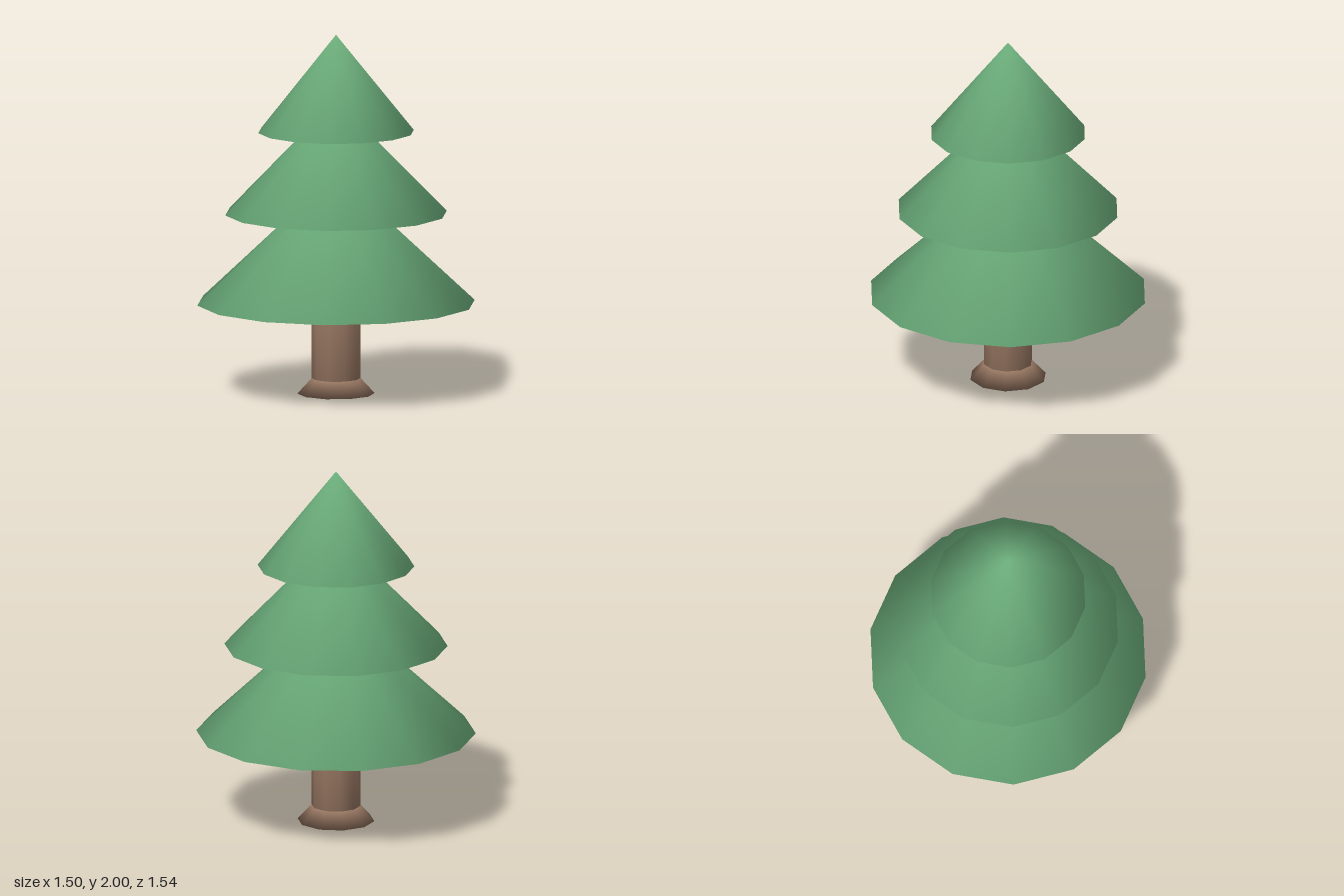
import * as THREE from 'three';

const needleGreen = new THREE.MeshStandardMaterial({ color: 0x6fb37f });
needleGreen.name = 'needle green';
const barkBrown = new THREE.MeshStandardMaterial({ color: 0x967661 });
barkBrown.name = 'bark brown';

// Closed turned solid; the poles get vertical normals so shading runs smoothly into them
function turned(name, profile, sides, material) {
  const geometry = new THREE.LatheGeometry(profile.map(([r, y]) => new THREE.Vector2(r, y)), sides);
  const { position, normal } = geometry.attributes;
  const middle = (profile[0][1] + profile[profile.length - 1][1]) / 2;
  for (let i = 0; i < position.count; i++) {
    if (Math.hypot(position.getX(i), position.getZ(i)) < 1e-4) {
      normal.setXYZ(i, 0, position.getY(i) > middle ? 1 : -1, 0);
    }
  }
  const mesh = new THREE.Mesh(geometry, material);
  mesh.name = name;
  return mesh;
}

export function createModel() {
  const tree = new THREE.Group();
  tree.name = 'pineTree';

  // Trunk and its flared foot
  tree.add(turned('trunkFoot', [[0, 0], [0.213, 0], [0.135, 0.085], [0, 0.085]], 10, barkBrown));
  tree.add(turned('trunk', [[0, 0.08], [0.135, 0.08], [0.135, 0.6], [0, 0.6]], 10, barkBrown));

  // Three stacked cones of foliage: name, radius, bottom, tip
  const tiers = [
    ['lowerFoliage', 0.77, 0.505, 1.23],
    ['middleFoliage', 0.615, 1.005, 1.64],
    ['topFoliage', 0.432, 1.46, 2],
  ];
  for (const [name, radius, bottom, tip] of tiers) {
    tree.add(turned(name, [[0, bottom], [radius, bottom], [0, tip]], 14, needleGreen));
  }
  return tree;
}
